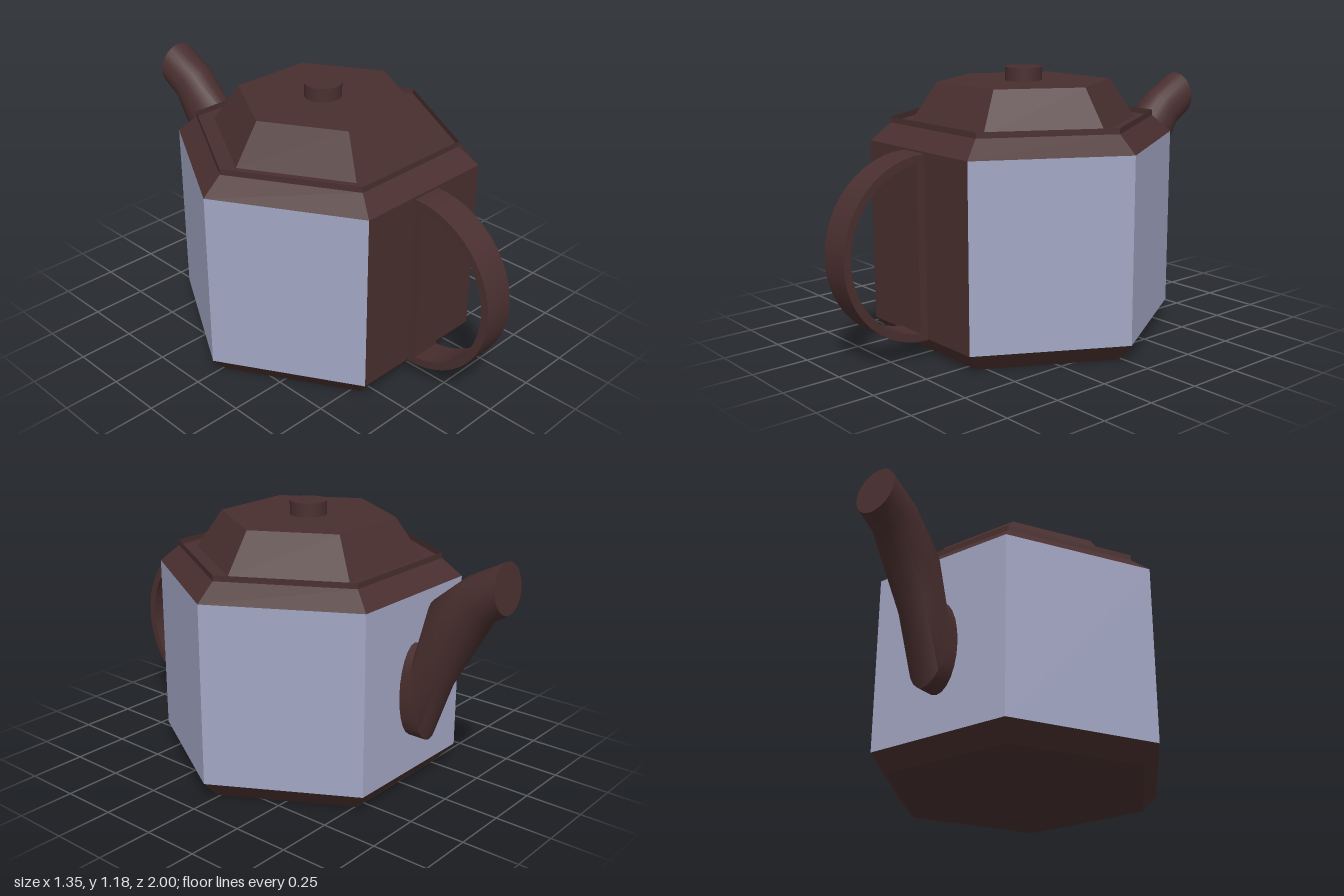
import * as THREE from 'three';
import { toCreasedNormals } from 'three/addons/utils/BufferGeometryUtils.js';

const CENTRE_Z = 0.015;

export function createModel() {
  const brown = new THREE.MeshStandardMaterial({ color: 0x4a2f2f, side: THREE.DoubleSide });
  brown.name = 'darkBrown';
  const lavender = new THREE.MeshStandardMaterial({ color: 0xa3a7c4 });
  lavender.name = 'paleLavender';

  const model = new THREE.Group();
  model.name = 'teapot';

  function add(name, geometry, material, x = 0, y = 0, z = 0) {
    const mesh = new THREE.Mesh(geometry, material);
    mesh.name = name;
    mesh.position.set(x, y, z);
    model.add(mesh);
    return mesh;
  }

  // Flat-shaded hexagonal layer; face 0 looks to the front
  function hexLayer(name, y0, y1, r0, r1, material, open = false, firstFace = 0, faces = 6) {
    const start = -Math.PI / 6 + firstFace * Math.PI / 3;
    const geometry = new THREE.CylinderGeometry(
      r1, r0, y1 - y0, faces, 1, open, start, faces * Math.PI / 3).toNonIndexed();
    geometry.computeVertexNormals();
    return add(name, geometry, material, 0, (y0 + y1) / 2, CENTRE_Z);
  }

  // Body: bevelled foot, six walls, bevelled shoulder
  hexLayer('foot', 0, 0.08, 0.6, 0.673, brown);
  hexLayer('frontWall', 0.08, 0.875, 0.673, 0.673, brown, true, 0, 1);
  hexLayer('sideWalls', 0.08, 0.875, 0.673, 0.673, lavender, true, 1, 5);
  hexLayer('shoulder', 0.875, 0.95, 0.673, 0.585, brown);
  hexLayer('rim', 0.95, 0.975, 0.585, 0.585, brown, true);

  // Lid and knob
  hexLayer('lid', 0.95, 1.12, 0.5, 0.383, brown);
  add('knob', new THREE.CylinderGeometry(0.081, 0.081, 0.06, 24), brown, -0.005, 1.15, CENTRE_Z);

  // Handle: D-shaped band, drawn with shape x = z and then turned to the front
  const band = new THREE.Shape();
  band.absarc(0, 0, 0.395, -Math.PI / 2, Math.PI / 2, false);
  const opening = new THREE.Path();
  const limit = Math.acos(0.038 / 0.36);
  opening.absarc(0, 0, 0.36, -limit, limit, false);
  band.holes.push(opening);
  const handleGeometry = new THREE.ExtrudeGeometry(band, {
    depth: 0.14, bevelEnabled: false, curveSegments: 12,
  });
  handleGeometry.rotateY(-Math.PI / 2);
  add('handle', toCreasedNormals(handleGeometry, 0.5), brown, 0.066, 0.475, 0.605);

  // Spout: elliptical sections, each given by its upper and lower [z, y]
  const sections = [
    [[-0.5, 0.665], [-0.5, 0.25]],
    [[-0.6, 0.665], [-0.655, 0.25]],
    [[-0.655, 0.87], [-0.75, 0.51]],
    [[-0.81, 1.0], [-0.93, 0.83]],
    [[-0.975, 1.088], [-1.0, 0.878]],
  ];
  const sides = 24;
  const points = [];
  const index = [];
  sections.forEach(([top, bottom], i) => {
    const cz = (top[0] + bottom[0]) / 2, cy = (top[1] + bottom[1]) / 2;
    for (let j = 0; j < sides; j++) {
      const t = j / sides * Math.PI * 2;
      points.push(0.1 * Math.sin(t),
        cy + (top[1] - cy) * Math.cos(t),
        cz + (top[0] - cz) * Math.cos(t));
      if (i === sections.length - 1) continue;
      const a = i * sides + j, b = i * sides + (j + 1) % sides;
      index.push(a, b, a + sides, b, b + sides, a + sides);
    }
  });
  // Cap at the tip
  const last = (sections.length - 1) * sides;
  for (let j = 1; j < sides - 1; j++) index.push(last, last + j, last + j + 1);
  const spoutGeometry = new THREE.BufferGeometry();
  spoutGeometry.setAttribute('position', new THREE.Float32BufferAttribute(points, 3));
  spoutGeometry.setIndex(index);
  add('spout', toCreasedNormals(spoutGeometry, 0.7), brown);

  return model;
}
